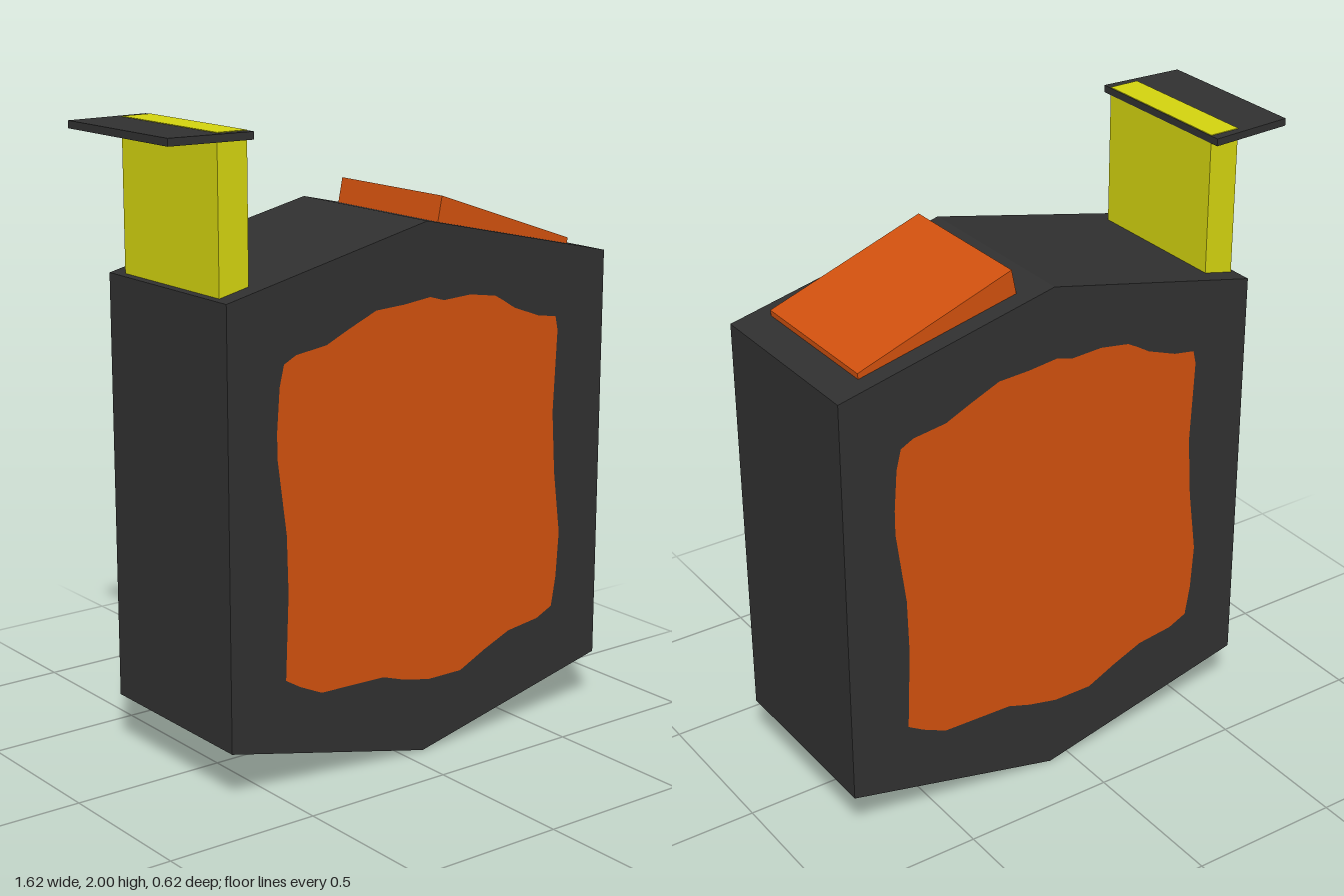
import * as THREE from 'three';

const mat = (name, color) => {
  const m = new THREE.MeshStandardMaterial({ color });
  m.name = name;
  return m;
};

const toShape = (pts) => new THREE.Shape(pts.map(([x, y]) => new THREE.Vector2(x, y)));

// Flat profile in x/y, extruded symmetrically about z = 0
function slab(pts, depth) {
  const g = new THREE.ExtrudeGeometry(toShape(pts), { depth, bevelEnabled: false });
  return g.translate(0, 0, -depth / 2);
}

export function createModel() {
  const model = new THREE.Group();
  model.name = 'hexagonalCanister';
  const charcoal = mat('charcoal', 0x303030);
  const orange = mat('orange', 0xd0500e);
  const yellow = mat('yellow', 0xd2d20f);

  const add = (name, geometry, material) => {
    const mesh = new THREE.Mesh(geometry, material);
    mesh.name = name;
    model.add(mesh);
    return mesh;
  };

  // Six-sided body
  const cx = 0.075, halfDepth = 0.31;
  add('body', slab([
    [cx, 0], [0.805, 0.17], [0.805, 1.525], [cx, 1.69], [-0.655, 1.525], [-0.655, 0.17],
  ], halfDepth * 2), charcoal);

  // Ragged painted panel, repeated on front and back by a half turn about the body axis
  const outline = [
    [-0.458, 1.325], [-0.415, 1.347], [-0.304, 1.362], [-0.22, 1.4], [-0.12, 1.442],
    [-0.013, 1.447], [0.087, 1.458], [0.14, 1.442], [0.246, 1.447], [0.347, 1.431],
    [0.384, 1.41], [0.426, 1.384], [0.526, 1.347], [0.6, 1.335], [0.61, 1.29],
    [0.597, 1.024], [0.61, 0.823], [0.637, 0.616], [0.627, 0.468], [0.61, 0.37],
    [0.548, 0.341], [0.426, 0.325], [0.325, 0.283], [0.225, 0.235], [0.093, 0.235],
    [-0.008, 0.257], [-0.087, 0.283], [-0.325, 0.288], [-0.405, 0.325], [-0.458, 0.357],
    [-0.447, 0.627], [-0.452, 0.81], [-0.484, 1.05], [-0.484, 1.13], [-0.474, 1.26],
  ].map(([x, y]) => [x - cx, y]);
  const panel = new THREE.ShapeGeometry(toShape(outline)).translate(0, 0, halfDepth + 0.002);
  ['frontPanel', 'backPanel'].forEach((name, i) => {
    const mesh = add(name, panel, orange);
    mesh.position.x = cx;
    mesh.rotation.y = i * Math.PI;
  });

  // Wedge sitting on the sloping roof
  add('roofWedge', slab([
    [0.163, 1.655], [0.7, 1.535], [0.703, 1.567], [0.182, 1.748],
  ], 0.496), orange);

  // Upright handle post, its top showing through the cap
  const post = new THREE.BoxGeometry(0.102, 0.5, 0.498);
  add('handlePost', post.translate(-0.586, 1.75, 0), yellow);

  // Thin tapered cap overhanging the post
  const cap = new THREE.ExtrudeGeometry(toShape([
    [-0.81, -0.264], [-0.533, -0.28], [-0.533, 0.28], [-0.81, 0.264],
  ]), { depth: 0.023, bevelEnabled: false });
  add('handleCap', cap.rotateX(-Math.PI / 2).translate(0, 1.975, 0), charcoal);

  return model;
}
